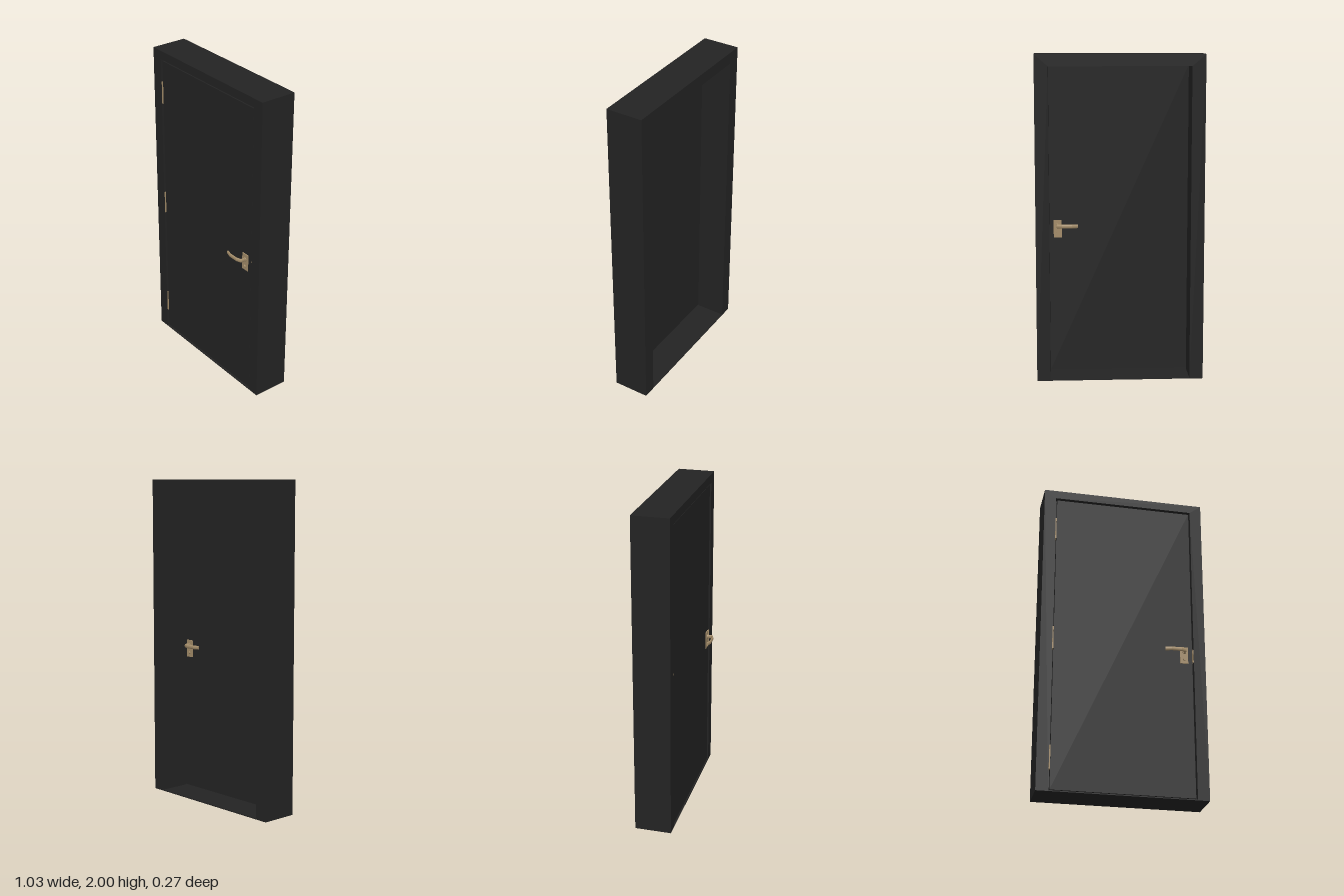
import * as THREE from 'three';

const paint = new THREE.MeshStandardMaterial({ color: 0x232323 });
paint.name = 'charcoal paint';
const brass = new THREE.MeshStandardMaterial({ color: 0xa38c69 });
brass.name = 'satin brass';

function add(parent, name, geometry, material, x = 0, y = 0, z = 0) {
  const mesh = new THREE.Mesh(geometry, material);
  mesh.name = name;
  mesh.position.set(x, y, z);
  parent.add(mesh);
  return mesh;
}

// Box given by its lower and upper corners
function box(parent, name, material, a, b) {
  const size = a.map((v, i) => b[i] - v);
  const mid = a.map((v, i) => (b[i] + v) / 2);
  return add(parent, name, new THREE.BoxGeometry(...size), material, ...mid);
}

// Doorway surround, open at the floor
function surround(halfOpening, openingTop, depth) {
  const w = 0.513;
  const shape = new THREE.Shape([
    [-w, 0], [-halfOpening, 0], [-halfOpening, openingTop], [halfOpening, openingTop],
    [halfOpening, 0], [w, 0], [w, 2], [-w, 2],
  ].map(([x, y]) => new THREE.Vector2(x, y)));
  return new THREE.ExtrudeGeometry(shape, { depth, bevelEnabled: false });
}

// Lever handle with backplate; local z points away from the door face
function makeHandle(name) {
  const handle = new THREE.Group();
  handle.name = name;
  box(handle, 'backplate', brass, [0.354, 0.866, 0], [0.404, 0.975, 0.006]);

  // Rose and lock cylinder
  const rose = add(handle, 'rose', new THREE.CylinderGeometry(0.012, 0.013, 0.008, 20), brass, 0.381, 0.941, 0.008);
  rose.rotation.x = Math.PI / 2;
  const lock = add(handle, 'lockCylinder', new THREE.CylinderGeometry(0.009, 0.009, 0.013, 20), brass, 0.38, 0.893, 0.0085);
  lock.rotation.x = Math.PI / 2;

  // Bent lever of oval section
  const lever = new THREE.Group();
  lever.name = 'lever';
  lever.position.y = 0.941;
  lever.scale.y = 1.9;
  handle.add(lever);
  const r = 0.0065;
  const path = [[0.381, 0], [0.381, 0.037], [0.352, 0.0475], [0.292, 0.0475], [0.255, 0.037]]
    .map(([x, z]) => new THREE.Vector3(x, 0, z));
  for (let i = 1; i < path.length; i++) {
    const dir = path[i].clone().sub(path[i - 1]);
    const mid = path[i].clone().add(path[i - 1]).multiplyScalar(0.5);
    const bar = add(lever, 'leverSegment', new THREE.CylinderGeometry(r, r, dir.length(), 16), brass, mid.x, 0, mid.z);
    bar.quaternion.setFromUnitVectors(new THREE.Vector3(0, 1, 0), dir.normalize());
    if (i < path.length - 1) {
      add(lever, 'leverBend', new THREE.SphereGeometry(r, 16, 10), brass, path[i].x, 0, path[i].z);
    }
  }
  return handle;
}

export function createModel() {
  const model = new THREE.Group();
  model.name = 'door';

  // Frame: rebated front layer and deep back lining
  add(model, 'frameFront', surround(0.44, 1.946, 0.036), paint, 0, 0, 0.054);
  add(model, 'frameLining', surround(0.43, 1.928, 0.191), paint, 0, 0, -0.137);
  box(model, 'threshold', paint, [-0.44, 0, -0.137], [0.44, 0.006, 0.09]);

  // Door leaf
  box(model, 'doorLeaf', paint, [-0.431, 0.012, 0.0545], [0.431, 1.935, 0.083]);

  // Hinges in the left gap
  for (const y of [0.207, 0.967, 1.727]) {
    box(model, 'hinge', brass, [-0.439, y - 0.073, 0.058], [-0.432, y + 0.073, 0.088]);
  }

  // Strike plate on the latch jamb
  box(model, 'strikePlate', brass, [0.435, 0.88, 0.058], [0.4405, 0.965, 0.086]);

  // Handles on both faces
  const front = makeHandle('frontHandle');
  front.position.z = 0.083;
  const back = makeHandle('backHandle');
  back.rotation.y = Math.PI;
  back.position.set(0, 0, 0.0545);
  // Shift and turn each back part so the lever still points to the middle
  back.rotation.y = 0;
  back.scale.z = -1;
  model.add(front, back);

  return model;
}
